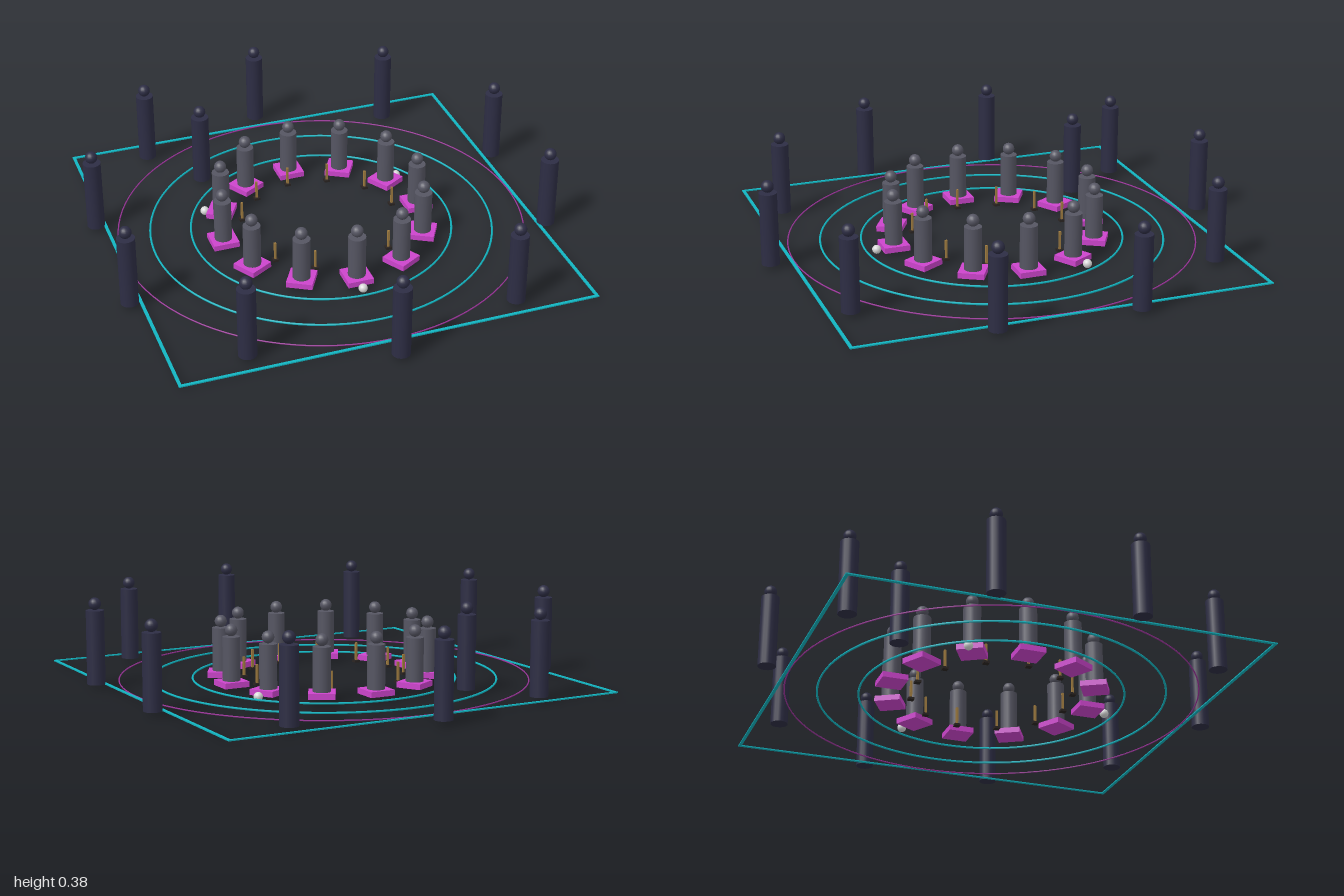
import * as THREE from 'three';

const mat = (name, color) => {
  const m = new THREE.MeshStandardMaterial({ color });
  m.name = name;
  return m;
};

export function createModel() {
  const root = new THREE.Group();
  root.name = 'ceremonialCircle';

  const navy = mat('dark navy', 0x2d2d44);
  const grey = mat('slate grey', 0x555562);
  const magenta = mat('magenta', 0xcc44cc);
  const cyan = mat('cyan', 0x12b4c0);
  const purple = mat('purple', 0x9a3399);
  const tan = mat('tan', 0xa07c40);
  const black = mat('charcoal', 0x2a2422);
  const pale = mat('pale grey', 0xd8d8d8);

  const FLOOR = 0.016;

  const add = (parent, name, geometry, material, x, y, z) => {
    const m = new THREE.Mesh(geometry, material);
    m.name = name;
    m.position.set(x, y, z);
    parent.add(m);
    return m;
  };

  // Group on a circle; angle in degrees, clockwise from the back
  const onCircle = (name, radius, degrees) => {
    const a = THREE.MathUtils.degToRad(degrees);
    const g = new THREE.Group();
    g.name = name;
    g.position.set(Math.sin(a) * radius, FLOOR, -Math.cos(a) * radius);
    root.add(g);
    return g;
  };

  // Shared shapes
  const tallBody = new THREE.CylinderGeometry(0.038, 0.038, 0.311, 16);
  const seatedBody = new THREE.CylinderGeometry(0.037, 0.037, 0.184, 16);
  const head = new THREE.SphereGeometry(0.026, 16, 12);
  const plinth = new THREE.BoxGeometry(0.11, 0.024, 0.11);
  const standBase = new THREE.BoxGeometry(0.025, 0.01, 0.025);
  const standPost = new THREE.BoxGeometry(0.009, 0.08, 0.009);
  const orb = new THREE.SphereGeometry(0.019, 16, 12);

  // Tall outer figures
  const tallFigure = (g) => {
    add(g, 'tallBody', tallBody, navy, 0, 0.1555, 0);
    add(g, 'tallHead', head, navy, 0, 0.338, 0);
  };
  for (let i = 0; i < 10; i++) tallFigure(onCircle('outerFigure', 0.962, i * 36 + 0.7));
  const inner = onCircle('walkingFigure', 0, 0);
  inner.position.set(-0.377, FLOOR, -0.523);
  tallFigure(inner);

  // Inner figures on square plinths that face the centre
  for (let i = 0; i < 12; i++) {
    const g = onCircle('innerFigure', 0.437, i * 30);
    g.rotation.y = -THREE.MathUtils.degToRad(i * 30);
    add(g, 'plinth', plinth, magenta, 0, 0.012, 0);
    add(g, 'innerBody', seatedBody, grey, 0, 0.116, 0);
    add(g, 'innerHead', head, grey, 0, 0.235, 0);
  }

  // Thin stands inside the circle
  for (let i = 0; i < 12; i++) {
    const g = onCircle('stand', 0.34, i * 30 - 6.4);
    add(g, 'standBase', standBase, black, 0, 0.005, 0);
    add(g, 'standPost', standPost, tan, 0, 0.048, 0);
  }

  // Three orbs resting in the floor line
  for (const a of [60, 180, 300]) {
    add(onCircle('orbSpot', 0.512, a), 'orb', orb, pale, 0, 0.003, 0);
  }

  // Floor rings
  const rings = [[0.557, 0.0045, cyan], [0.73, 0.0045, cyan], [0.866, 0.003, purple]];
  for (const [radius, tube, material] of rings) {
    const ring = add(root, 'floorRing', new THREE.TorusGeometry(radius, tube, 6, 96), material, 0, FLOOR, 0);
    ring.rotation.x = Math.PI / 2;
  }

  // Square floor border
  const border = new THREE.Group();
  border.name = 'squareBorder';
  const bar = new THREE.BoxGeometry(1.762, 0.005, 0.013);
  for (let i = 0; i < 4; i++) {
    const side = new THREE.Group();
    side.name = 'borderSide';
    side.rotation.y = (i * Math.PI) / 2;
    add(side, 'borderBar', bar, cyan, 0, FLOOR, 0.875);
    border.add(side);
  }
  root.add(border);

  return root;
}
